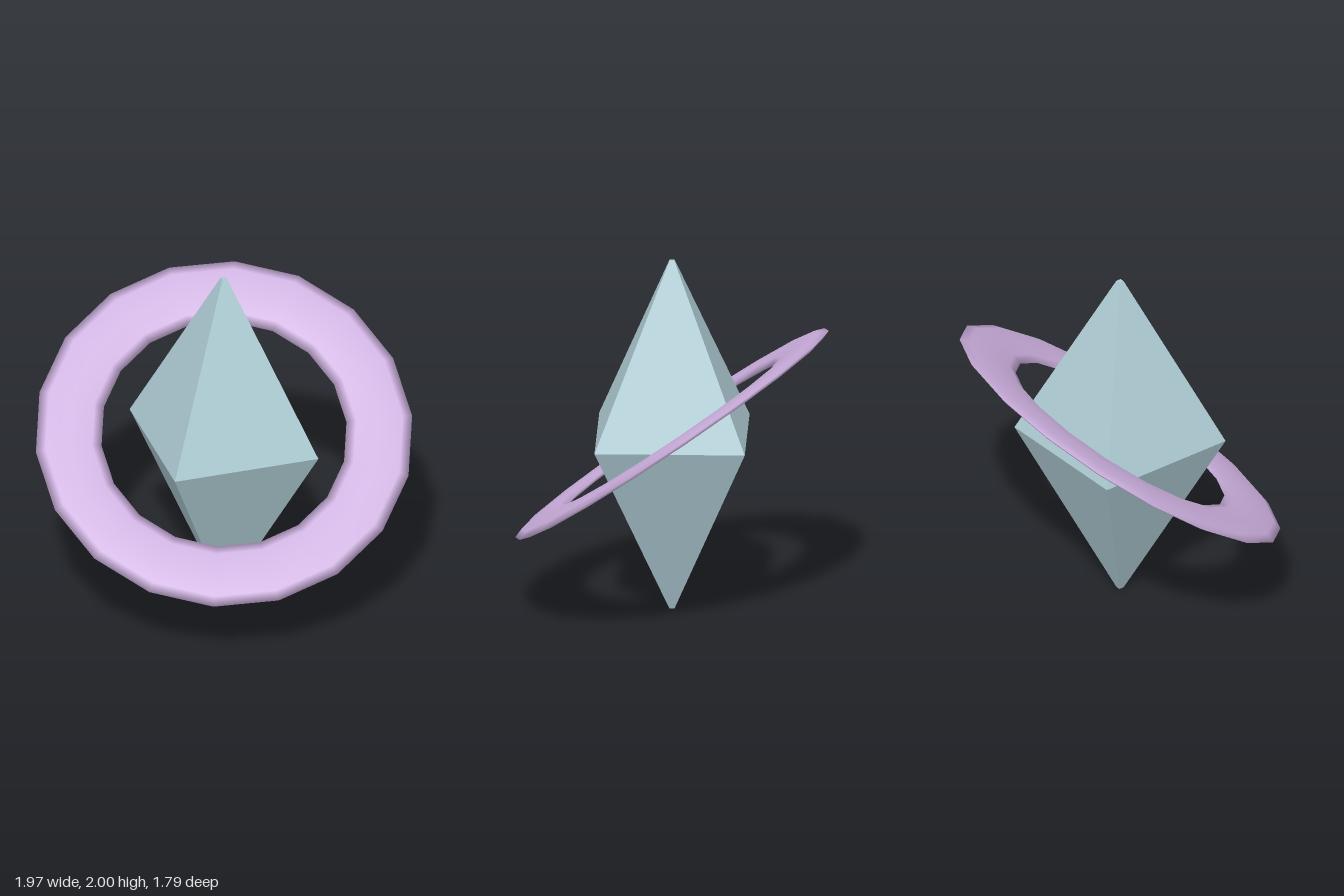
import * as THREE from 'three';

export function createModel() {
  const model = new THREE.Group();
  const paleBlue = new THREE.MeshStandardMaterial({ color: 0xaeccd4 });
  paleBlue.name = 'paleBlue';
  const lilac = new THREE.MeshStandardMaterial({ color: 0xcbaedd });
  lilac.name = 'lilac';

  // Four-sided double pyramid with tiny cut tips and hard facets
  const profile = [[0, 0], [0.02, 0], [0.588, 1], [0.02, 2], [0, 2]]
    .map(([r, y]) => new THREE.Vector2(r, y));
  const crystalShape = new THREE.LatheGeometry(profile, 4).toNonIndexed();
  crystalShape.computeVertexNormals();
  const crystal = new THREE.Mesh(crystalShape, paleBlue);
  crystal.name = 'crystal';
  model.add(crystal);

  // Flattened smooth ring, tilted down towards the front and the left
  const ringShape = new THREE.TorusGeometry(0.865, 0.183, 8, 18);
  ringShape.scale(1, 1, 0.15);
  ringShape.rotateX(Math.PI / 2);
  ringShape.rotateY(Math.PI / 2);
  const ring = new THREE.Mesh(ringShape, lilac);
  ring.name = 'ring';
  ring.position.y = 1;
  ring.rotation.set(0.55, 0, -0.3);
  model.add(ring);

  return model;
}
